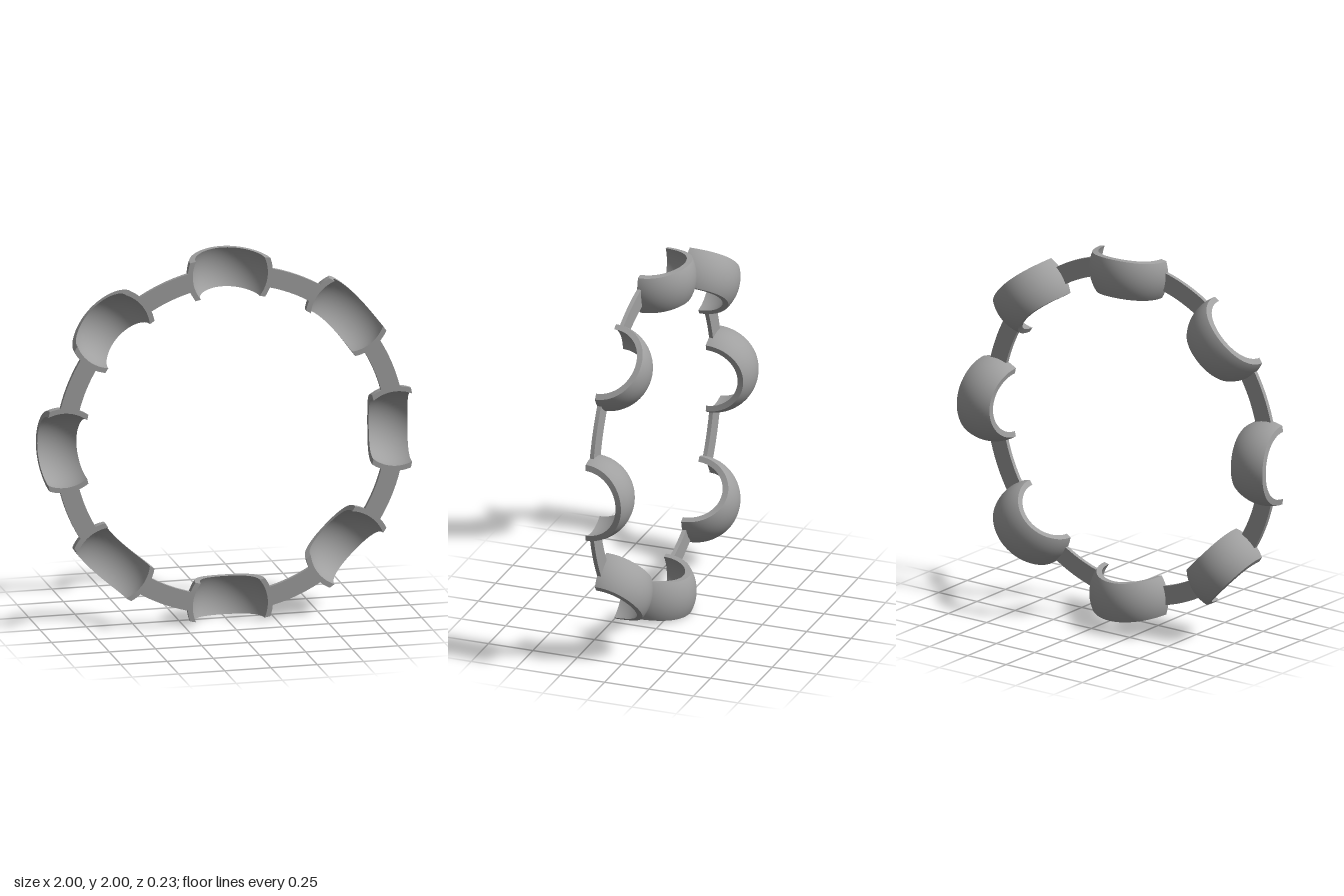
import * as THREE from 'three';
import { mergeGeometries } from 'three/addons/utils/BufferGeometryUtils.js';
import { ParametricGeometry } from 'three/addons/geometries/ParametricGeometry.js';

const COUNT = 8;
const CENTRE = 0.9;                    // distance of each cup centre from the ring axis
const R_OUT = 0.23, R_IN = 0.203;      // outer and inner sphere of a cup wall
const CUT_OUT = 1.0, CUT_IN = 0.79;    // cylinders that trim the cups
const FRONT = 0.115;                   // flat front plane
const lerp = THREE.MathUtils.lerp;

// Offset along the radial axis where a sphere meets a trimming cylinder
function trim(R, cut, phi) {
  const s = Math.sin(phi) ** 2;
  const k = CENTRE ** 2 + R * R * (1 - s) - cut * cut;
  return -k / (CENTRE + Math.sqrt(CENTRE ** 2 - s * k));
}

// Point on a spherical wall: phi goes round the back, v from inner cut to outer cut
function wall(R, phi, v) {
  const h = lerp(trim(R, CUT_IN, phi), trim(R, CUT_OUT, phi), v);
  const r = Math.sqrt(R * R - h * h);
  return new THREE.Vector3(r * Math.cos(phi), CENTRE + h, -r * Math.sin(phi));
}

function patch(fn, nu, nv) {
  return new ParametricGeometry((u, v, target) => target.copy(fn(u, v)), nu, nv);
}

// Half of a hollow barrel, open towards the front
function cupGeometry() {
  const PI = Math.PI;
  const between = (a, b, phi, v, t) => wall(a, phi, v).lerp(wall(b, phi, v), t);
  return mergeGeometries([
    patch((u, v) => wall(R_OUT, u * PI, v), 40, 12),
    patch((u, v) => wall(R_IN, u * PI, 1 - v), 40, 12),
    patch((u, v) => between(R_OUT, R_IN, u * PI, 1, v), 40, 1),
    patch((u, v) => between(R_IN, R_OUT, u * PI, 0, v), 40, 1),
    patch((u, v) => between(R_IN, R_OUT, 0, v, u), 1, 12),
    patch((u, v) => between(R_OUT, R_IN, PI, v, u), 1, 12),
  ]);
}

// Flat arc joining two neighbouring cups, ending inside their walls
function linkGeometry() {
  const a = Math.PI / 2 + 0.24, b = Math.PI / 2 + (2 * Math.PI) / COUNT - 0.24;
  const shape = new THREE.Shape();
  shape.absarc(0, 0, 0.945, a, b, false);
  shape.absarc(0, 0, 0.843, b, a, true);
  return new THREE.ExtrudeGeometry(shape, { depth: 0.022, bevelEnabled: false, curveSegments: 16 });
}

export function createModel() {
  const grey = new THREE.MeshStandardMaterial({ color: 0xa0a0a0 });
  grey.name = 'grey';
  const model = new THREE.Group();
  model.name = 'cupRing';
  const cup = cupGeometry(), link = linkGeometry();

  for (let i = 0; i < COUNT; i++) {
    const section = new THREE.Group();
    section.name = `section${i + 1}`;
    section.position.y = 1;
    section.rotation.z = (i * 2 * Math.PI) / COUNT;

    const cupMesh = new THREE.Mesh(cup, grey);
    cupMesh.name = 'cup';
    cupMesh.position.z = FRONT;

    const linkMesh = new THREE.Mesh(link, grey);
    linkMesh.name = 'ringLink';
    linkMesh.position.z = FRONT - 0.022;

    section.add(cupMesh, linkMesh);
    model.add(section);
  }
  return model;
}
